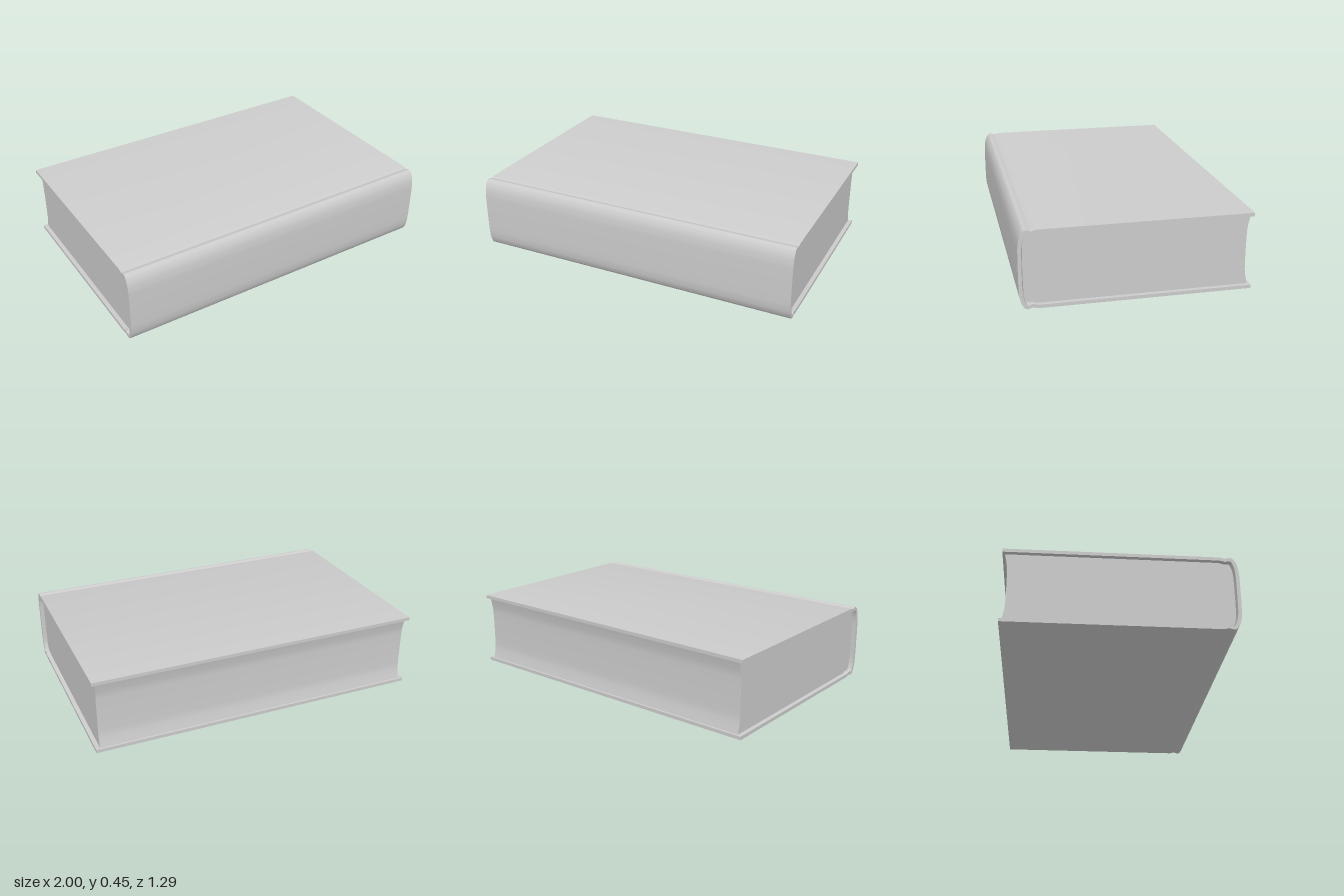
import * as THREE from 'three';
import { toCreasedNormals } from 'three/addons/utils/BufferGeometryUtils.js';

const HEIGHT = 0.445;

// Smooth curve through [z, y] points of the upper half, mirrored to the lower half
function mirroredCurve(upper) {
  const lower = upper.map(([z, y]) => [z, HEIGHT - y]).reverse();
  const points = [...upper, ...lower].map(([z, y]) => new THREE.Vector3(-z, y, 0));
  return new THREE.CatmullRomCurve3(points, false, 'centripetal')
    .getPoints((points.length - 1) * 5)
    .map((p) => new THREE.Vector2(p.x, p.y));
}

// Extrude a side profile along x, centred
function extrudeAlongX(name, outline, length, material) {
  const geometry = new THREE.ExtrudeGeometry(new THREE.Shape(outline), {
    depth: length, bevelEnabled: false,
  });
  geometry.translate(0, 0, -length / 2);
  geometry.rotateY(Math.PI / 2);
  const mesh = new THREE.Mesh(toCreasedNormals(geometry, 0.6), material);
  mesh.name = name;
  return mesh;
}

export function createModel() {
  const book = new THREE.Group();
  book.name = 'book';
  const material = new THREE.MeshStandardMaterial({ color: 0xcccccc });
  const corner = (z, y) => new THREE.Vector2(-z, y);

  // Cover: two boards joined by a rounded spine with hinge grooves
  const outer = mirroredCurve([
    [0.54, 0.445], [0.555, 0.442], [0.57, 0.438], [0.585, 0.442], [0.6, 0.445],
    [0.615, 0.438], [0.634, 0.405], [0.643, 0.36], [0.645, 0.32],
  ]);
  const inner = mirroredCurve([
    [0.54, 0.425], [0.555, 0.422], [0.57, 0.418], [0.585, 0.421], [0.597, 0.423],
    [0.605, 0.418], [0.617, 0.39], [0.623, 0.355], [0.625, 0.32],
  ]);
  const cover = [
    corner(-0.645, 0.445), ...outer, corner(-0.645, 0),
    corner(-0.645, 0.02), ...inner.reverse(), corner(-0.645, 0.425),
  ];
  book.add(extrudeAlongX('cover', cover, 2, material));

  // Page block: rounded at the spine, hollowed at the fore edge
  const spineSide = mirroredCurve([
    [0.54, 0.425], [0.555, 0.421], [0.57, 0.417], [0.585, 0.418], [0.596, 0.416],
    [0.606, 0.4], [0.615, 0.365], [0.618, 0.32],
  ]);
  const foreEdge = mirroredCurve([
    [-0.632, 0.425], [-0.624, 0.39], [-0.617, 0.35], [-0.615, 0.31],
  ]);
  book.add(extrudeAlongX('pages', [...spineSide, ...foreEdge.reverse()], 1.95, material));

  return book;
}
